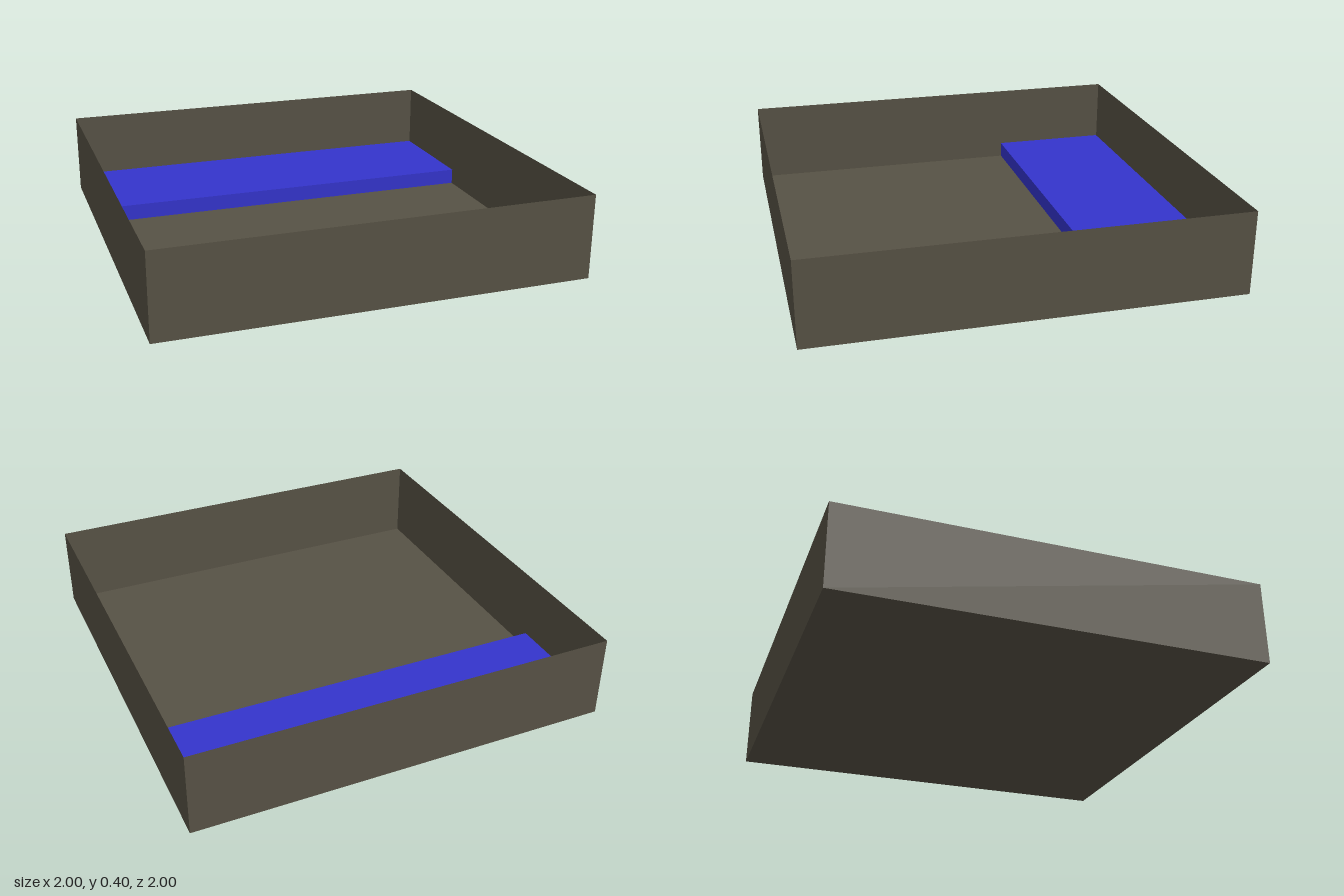
import * as THREE from 'three';

export function createModel() {
  const group = new THREE.Group();
  const brown = new THREE.MeshStandardMaterial({ color: 0x575245, side: THREE.DoubleSide });
  brown.name = 'earthBrown';
  const blue = new THREE.MeshStandardMaterial({ color: 0x3434cc });
  blue.name = 'deepBlue';

  const add = (name, geometry, material) => {
    const mesh = new THREE.Mesh(geometry, material);
    mesh.name = name;
    group.add(mesh);
    return mesh;
  };

  // Sheet floor of the open tray
  add('floor', new THREE.PlaneGeometry(2, 2).rotateX(-Math.PI / 2), brown);

  // Four sheet walls, turned around the centre
  ['frontWall', 'leftWall', 'backWall', 'rightWall'].forEach((name, i) => {
    const wall = new THREE.PlaneGeometry(2, 0.4).translate(0, 0.2, 1);
    add(name, wall.rotateY(i * Math.PI / 2), brown);
  });

  // Low raised step along the back wall, set just inside the sheets
  const gap = 0.002;
  const height = 0.08, depth = 0.6;
  const step = add('backStep', new THREE.BoxGeometry(2 - 2 * gap, height - gap, depth - gap), blue);
  step.position.set(0, (height + gap) / 2, -1 + (depth + gap) / 2);

  return group;
}
